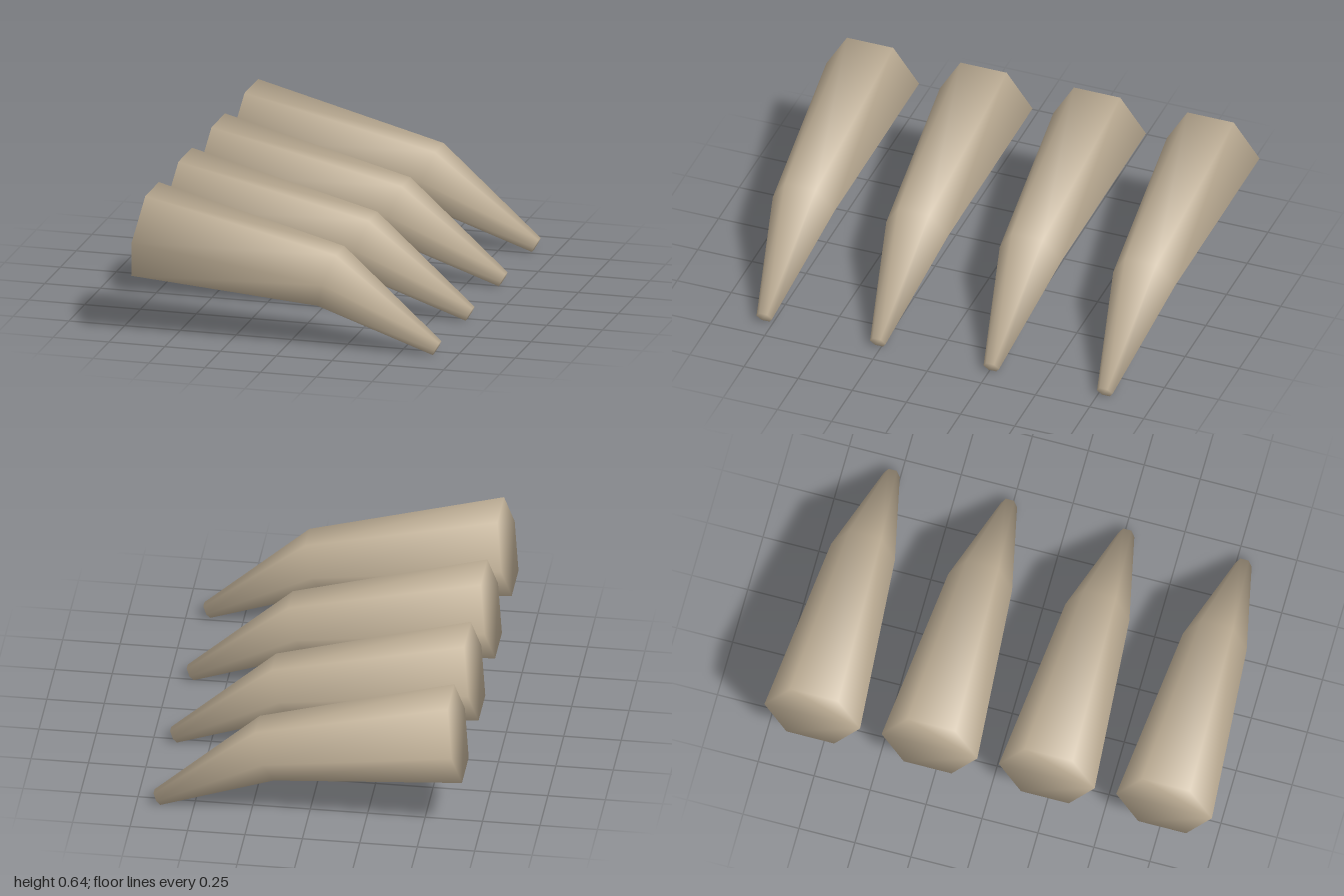
import * as THREE from 'three';

const SIDES = 6;

// Claw cross-sections from root to tip: top and bottom points in the side profile
const SECTIONS = [
  { top: [-0.617, 0.64], bottom: [-0.68, 0.275] },
  { top: [0.225, 0.432], bottom: [0.145, 0.198] },
  { top: [0.675, 0.057], bottom: [0.645, 0.002] },
];

// Hexagonal claw with smooth, corner-angle-weighted normals shared by sides and end caps
function clawGeometry() {
  const points = [];
  for (const { top, bottom } of SECTIONS) {
    const t = new THREE.Vector3(top[0], top[1], 0);
    const b = new THREE.Vector3(bottom[0], bottom[1], 0);
    const centre = t.clone().add(b).multiplyScalar(0.5);
    const up = t.clone().sub(b).normalize();
    const radius = t.distanceTo(b) / 2 / Math.cos(Math.PI / SIDES);
    for (let k = 0; k < SIDES; k++) {
      const a = (k / SIDES) * Math.PI * 2;
      const p = centre.clone().addScaledVector(up, radius * Math.sin(a));
      p.z = radius * Math.cos(a);
      points.push(p);
    }
  }

  // Root cap, side quads, tip cap
  const loop = [...Array(SIDES).keys()];
  const last = (SECTIONS.length - 1) * SIDES;
  const faces = [loop, loop.map((k) => last + k).reverse()];
  for (let i = 0; i < last; i += SIDES) {
    for (const k of loop) {
      const n = (k + 1) % SIDES;
      faces.push([i + k, i + SIDES + k, i + SIDES + n, i + n]);
    }
  }

  const normals = points.map(() => new THREE.Vector3());
  const index = [];
  for (const face of faces) {
    const count = face.length;
    face.forEach((v, j) => {
      const next = points[face[(j + 1) % count]].clone().sub(points[v]);
      const prev = points[face[(j + count - 1) % count]].clone().sub(points[v]);
      const normal = next.clone().cross(prev).normalize();
      normals[v].addScaledVector(normal, next.angleTo(prev));
    });
    for (let j = 1; j < count - 1; j++) index.push(face[0], face[j], face[j + 1]);
  }

  const geometry = new THREE.BufferGeometry();
  geometry.setAttribute('position', new THREE.Float32BufferAttribute(points.flatMap((p) => p.toArray()), 3));
  geometry.setAttribute('normal', new THREE.Float32BufferAttribute(normals.flatMap((n) => n.normalize().toArray()), 3));
  geometry.setIndex(index);
  return geometry;
}

export function createModel() {
  const group = new THREE.Group();
  group.name = 'claws';
  const horn = new THREE.MeshStandardMaterial({ color: 0xc2b299 });
  horn.name = 'horn beige';

  // Four identical claws side by side
  const geometry = clawGeometry();
  for (let i = 0; i < 4; i++) {
    const claw = new THREE.Mesh(geometry, horn);
    claw.name = `claw${i + 1}`;
    claw.position.z = (i - 1.5) * 0.524;
    group.add(claw);
  }
  return group;
}
